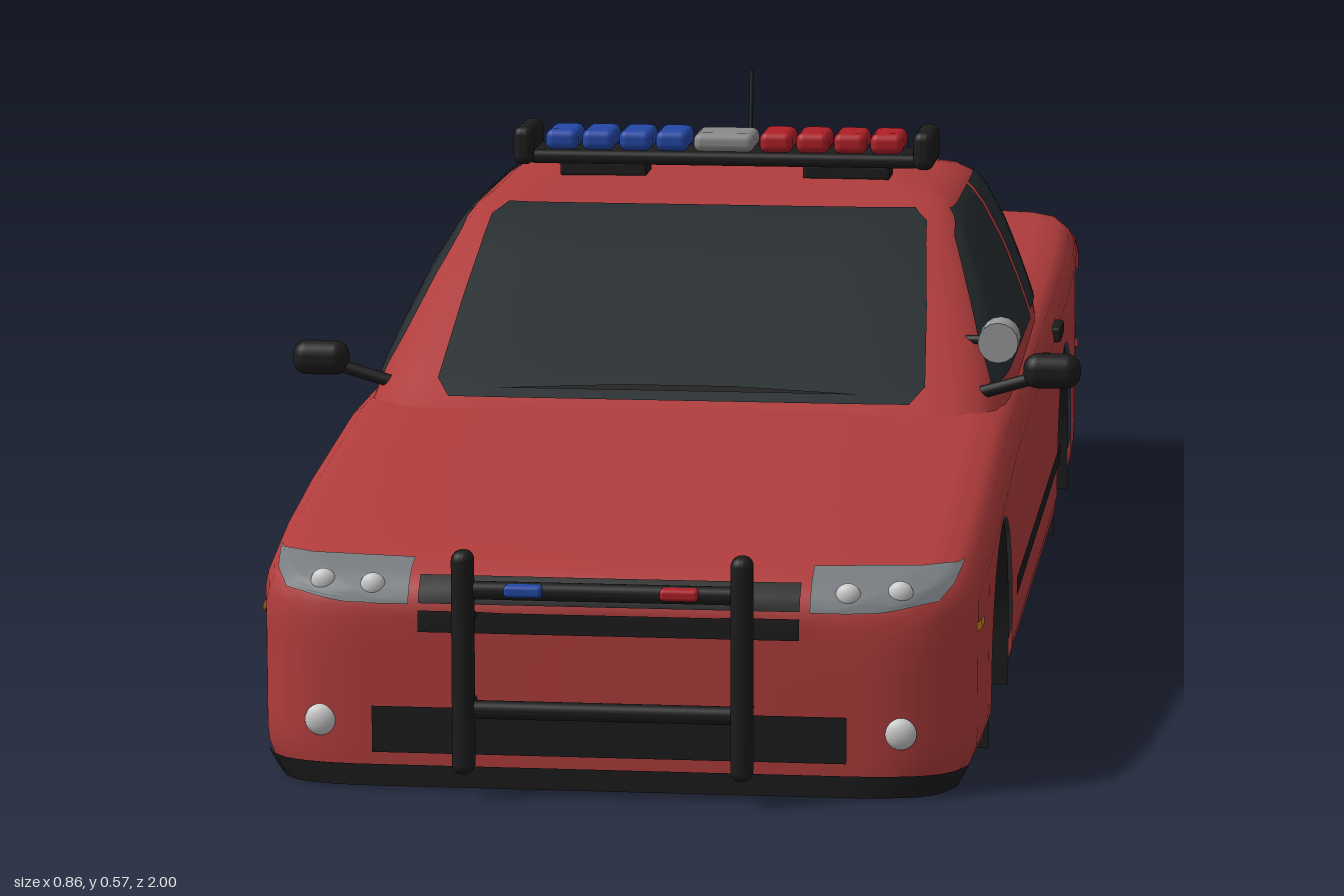
import * as THREE from 'three';
import { toCreasedNormals } from 'three/addons/utils/BufferGeometryUtils.js';
import { RoundedBoxGeometry } from 'three/addons/geometries/RoundedBoxGeometry.js';

const RED = 0xb03c3c, BLACK = 0x1c1c1c, GLASS = 0x272d30, GREY = 0xcccccc, BLUE = 0x2448a8, LAMP = 0xb01f28;
const FLOOR = 0.005, ARCHES = [0.56, -0.57], ARCH_R = 0.15, ARCH_Y = 0.065, WELL_X = 0.2;

// Lower body stations: z, half width, top height
const BODY = [[0.94, 0.25, 0.185], [0.937, 0.28, 0.197], [0.93, 0.31, 0.208], [0.915, 0.335, 0.22], [0.89, 0.352, 0.228],
  [0.85, 0.36, 0.237], [0.75, 0.364, 0.252], [0.6, 0.366, 0.27], [0.35, 0.366, 0.295], [0, 0.366, 0.3], [-0.5, 0.366, 0.312],
  [-0.65, 0.366, 0.317], [-0.8, 0.365, 0.327], [-0.88, 0.362, 0.331], [-0.925, 0.352, 0.331], [-0.95, 0.338, 0.327],
  [-0.965, 0.315, 0.315], [-0.972, 0.28, 0.295]];
// Cabin rings: y, half width, front z, rear z
const CABIN = [[0.28, 0.35, 0.4, -0.67], [0.295, 0.347, 0.37, -0.65], [0.316, 0.342, 0.335, -0.62], [0.35, 0.33, 0.275, -0.57],
  [0.397, 0.311, 0.192, -0.5], [0.44, 0.288, 0.115, -0.43], [0.46, 0.273, 0.07, -0.39], [0.47, 0.258, 0.025, -0.355],
  [0.477, 0.235, -0.03, -0.31], [0.482, 0.18, -0.1, -0.25]];

// Linear lookup in a table sorted by its first column, either way
function look(table, key, col) {
  for (let i = 1; i < table.length; i++) {
    const a = table[i - 1], b = table[i], t = (key - a[0]) / (b[0] - a[0]);
    if (t <= 1 || i === table.length - 1) return THREE.MathUtils.lerp(a[col], b[col], THREE.MathUtils.clamp(t, 0, 1));
  }
}

// Surface through a grid of points given by f(i, j)
function grid(nu, nv, f) {
  const pos = [], idx = [];
  for (let i = 0; i <= nu; i++) for (let j = 0; j <= nv; j++) pos.push(...f(i, j));
  for (let i = 0; i < nu; i++) for (let j = 0; j < nv; j++) {
    const a = i * (nv + 1) + j, b = a + nv + 1;
    idx.push(a, b, b + 1, a, b + 1, a + 1);
  }
  const g = new THREE.BufferGeometry();
  g.setAttribute('position', new THREE.Float32BufferAttribute(pos, 3));
  g.setIndex(idx);
  g.computeVertexNormals();
  return g;
}

const archAt = z => ARCHES.find(c => Math.abs(z - c) <= ARCH_R);
const tuck = y => 0.94 + 0.06 * Math.sin(Math.min(1, y / 0.05) * Math.PI / 2);

// Half section of the body from the lower edge up to the centre line
function halfSection(z) {
  const w = look(BODY, z, 1), top = look(BODY, z, 2), c = archAt(z);
  const low = c === undefined ? FLOOR : ARCH_Y + Math.sqrt(Math.max(0, ARCH_R ** 2 - (z - c) ** 2));
  const pts = [], high = Math.max(top - 0.05, low + 0.002);
  for (let k = 0; k <= 10; k++) {
    const y = THREE.MathUtils.lerp(low, high, (k / 10) ** 1.4);
    pts.push([w * tuck(y), y]);
  }
  pts.push([w - 0.003, top - 0.034], [w - 0.009, top - 0.02], [w - 0.022, top - 0.01], [w - 0.05, top - 0.005], [w * 0.5, top - 0.001], [0, top]);
  return pts;
}

export function createModel() {
  const car = new THREE.Group();
  const mat = (color, side = THREE.FrontSide) => new THREE.MeshStandardMaterial({ color, side });
  const add = (name, geo, color, side) => {
    const m = new THREE.Mesh(geo, mat(color, side));
    m.name = name;
    car.add(m);
    return m;
  };
  const box = (name, color, p, s, r = 0.004) => add(name, new RoundedBoxGeometry(...s, 3, r), color).position.set(...p);
  const ball = (name, color, p, s) => {
    const m = add(name, new THREE.SphereGeometry(1, 20, 14), color);
    m.position.set(...p);
    m.scale.set(...s);
  };
  const rod = (name, color, p, q, r) => {
    const a = new THREE.Vector3(...p), b = new THREE.Vector3(...q), d = b.clone().sub(a);
    const m = add(name, new THREE.CylinderGeometry(r, r, d.length(), 16), color);
    m.position.copy(a).add(b).multiplyScalar(0.5);
    m.quaternion.setFromUnitVectors(new THREE.Vector3(0, 1, 0), d.normalize());
  };

  // Lower body, lofted front to rear with the wheel arches cut into its lower edge
  const zs = BODY.map(r => r[0]);
  for (const c of ARCHES) {
    zs.push(c + ARCH_R + 1e-4, c - ARCH_R - 1e-4);
    for (let k = 0; k <= 20; k++) zs.push(c + (ARCH_R - 1e-5) * Math.cos(k * Math.PI / 20));
  }
  zs.sort((a, b) => b - a);
  const rows = zs.map(z => {
    const h = halfSection(z), other = h.slice(0, -1).reverse();
    return [...h.map(([x, y]) => [x, y, z]), ...other.map(([x, y]) => [-x, y, z])];
  });
  const flat = row => row.map(([, y, z]) => [0, y, z]);
  rows.unshift(flat(rows[0]));
  rows.push(flat(rows[rows.length - 1]));
  const body = add('body', toCreasedNormals(grid(rows.length - 1, rows[0].length - 1, (i, j) => rows[i][j]), 0.7), RED);

  // Cabin, stacked from rounded rings and closed at the roof
  const N = 96;
  const cabin = add('cabin', toCreasedNormals(grid(N, CABIN.length, (i, j) => {
    const [y, hw, zf, zr] = CABIN[Math.min(j, CABIN.length - 1)];
    const k = j === CABIN.length ? 0 : 1, a = (i % N) / N * Math.PI * 2;
    const c = Math.cos(a), s = -Math.sin(a), d = k / (Math.abs(c) ** 10 + Math.abs(s) ** 10) ** 0.1;
    const z = (zf + zr) / 2 + s * d * (zf - zr) / 2;
    const taper = 1 - 0.13 * THREE.MathUtils.smoothstep(-z, 0.25, 0.65);
    return [c * d * hw * taper, k ? y : 0.484, z];
  }), 0.7), RED);

  // Thin panel laid on a surface; rows are [y, start, end], seen along one axis
  const ray = new THREE.Raycaster();
  function panel(name, color, target, axis, sign, rowsIn, lift = 0.003, nu = 18) {
    const nv = 4 * (rowsIn.length - 1);
    let last = new THREE.Vector3();
    add(name, grid(nu, nv, (i, j) => {
      const k = Math.min(Math.floor(j / 4), rowsIn.length - 2), t = j / 4 - k;
      const [y, a0, a1] = rowsIn[k].map((v, n) => THREE.MathUtils.lerp(v, rowsIn[k + 1][n], t));
      const a = THREE.MathUtils.lerp(a0, a1, i / nu);
      const from = axis === 'z' ? new THREE.Vector3(a, y, 2 * sign) : new THREE.Vector3(2 * sign, y, a);
      const dir = axis === 'z' ? new THREE.Vector3(0, 0, -sign) : new THREE.Vector3(-sign, 0, 0);
      ray.set(from, dir);
      const hit = ray.intersectObject(target)[0];
      if (hit) last = hit.point.clone().addScaledVector(hit.face.normal, lift);
      return last.toArray();
    }), color, THREE.DoubleSide);
    return last;
  }
  const bar = (y0, y1, a, b) => [[y0, a, b], [y1, a, b]];

  // Underside and wheel wells
  add('floor', grid(zs.length - 1, 1, (i, j) => {
    const w = archAt(zs[i]) === undefined ? look(BODY, zs[i], 1) * tuck(FLOOR) : WELL_X;
    return [j ? -w : w, FLOOR, zs[i]];
  }), BLACK, THREE.DoubleSide);
  for (const c of ARCHES) for (const s of [1, -1]) {
    const arc = [[ARCH_R, FLOOR]];
    for (let k = 0; k <= 24; k++) arc.push([ARCH_R * Math.cos(k * Math.PI / 24), ARCH_Y + ARCH_R * Math.sin(k * Math.PI / 24)]);
    arc.push([-ARCH_R, FLOOR]);
    add('wheelWell', grid(arc.length - 1, 1, (i, j) => [s * (j ? 0.362 : WELL_X), arc[i][1], c + arc[i][0]]), BLACK, THREE.DoubleSide);
    const wall = add('wheelWellWall', new THREE.ShapeGeometry(new THREE.Shape(arc.map(p => new THREE.Vector2(...p)))), BLACK, THREE.DoubleSide);
    wall.rotation.y = -Math.PI / 2;
    wall.position.set(s * WELL_X, 0, c);
  }

  // Windows
  panel('windshield', GLASS, cabin, 'z', 1, [[0.297, -0.25, 0.25], [0.312, -0.265, 0.265], [0.38, -0.257, 0.257], [0.455, -0.245, 0.245], [0.465, -0.23, 0.23]]);
  panel('rearWindow', GLASS, cabin, 'z', -1, [[0.325, -0.24, 0.24], [0.335, -0.252, 0.252], [0.445, -0.212, 0.212], [0.457, -0.19, 0.19]]);
  panel('highBrakeLight', LAMP, cabin, 'z', -1, bar(0.443, 0.449, -0.058, 0.058), 0.007);
  panel('wiper', BLACK, cabin, 'z', 1, [[0.301, -0.2, 0.2], [0.306, -0.06, 0.06]], 0.01);
  for (const s of [1, -1]) {
    panel('frontSideWindow', GLASS, cabin, 'x', s, [[0.308, -0.18, 0.29], [0.35, -0.18, 0.235], [0.4, -0.18, 0.155], [0.44, -0.18, 0.085], [0.462, -0.18, 0.02]]);
    panel('rearSideWindow', GLASS, cabin, 'x', s, [[0.315, -0.44, -0.2], [0.4, -0.42, -0.2], [0.44, -0.385, -0.2], [0.462, -0.34, -0.2]]);
    panel('quarterWindow', GLASS, cabin, 'x', s, [[0.318, -0.575, -0.455], [0.385, -0.475, -0.44]]);

    // Side trim, handles and markers
    panel('sideMoulding', BLACK, body, 'x', s, bar(0.1, 0.12, -0.41, 0.4), 0.004);
    for (const z of [-0.122, -0.362]) box('doorHandle', BLACK, [s * 0.367, 0.264, z], [0.014, 0.018, 0.065]);
    panel('frontMarker', 0xc98a20, body, 'x', s, bar(0.16, 0.169, 0.82, 0.865));
    panel('rearMarker', LAMP, body, 'x', s, bar(0.158, 0.168, -0.9, -0.85));

    // Mirrors
    box('mirror', BLACK, [s * 0.4, 0.329, 0.305], [0.062, 0.038, 0.034], 0.016);
    rod('mirrorArm', BLACK, [s * 0.32, 0.303, 0.305], [s * 0.385, 0.322, 0.305], 0.007);

    // Headlights and fog lights
    const head = [[0.19, 0.2, 0.265], [0.2, 0.2, 0.325], [0.213, 0.2, 0.338], [0.226, 0.2, 0.344]].map(([y, a, b]) => [y, s * a, s * b]);
    panel('headlight', 0x777c80, body, 'z', 1, head, 0.003, 24);
    const lampOn = (name, x, y, r) => {
      ray.set(new THREE.Vector3(s * x, y, 2), new THREE.Vector3(0, 0, -1));
      const hit = ray.intersectObject(body)[0];
      if (hit) ball(name, GREY, hit.point.toArray(), [r, r, 0.009]);
    };
    lampOn('headlightBulb', 0.237, 0.206, 0.013);
    lampOn('headlightBulb', 0.288, 0.208, 0.013);
    lampOn('fogLight', 0.29, 0.07, 0.016);

    // Tail lights, wrapping onto the sides
    panel('tailLight', 0x8a1820, body, 'z', -1, bar(0.258, 0.3, s * 0.19, s * 0.34));
    panel('tailLightSide', 0x8a1820, body, 'x', s, bar(0.258, 0.3, -0.955, -0.86));
    panel('tailLightTrim', BLACK, body, 'z', -1, bar(0.25, 0.258, s * 0.19, s * 0.34), 0.004);
    panel('reverseLight', GREY, body, 'z', -1, bar(0.258, 0.295, s * 0.185, s * 0.22), 0.006);

    // Exhaust, push bar posts and roof knobs
    const pipe = add('exhaust', new THREE.CylinderGeometry(0.015, 0.015, 0.07, 20), GREY);
    pipe.rotation.x = Math.PI / 2;
    pipe.position.set(s * 0.23, 0.022, -0.965);
    box('pushBarPost', BLACK, [s * 0.138, 0.143, 0.985], [0.022, 0.225, 0.028], 0.01);
    for (const y of [0.095, 0.18]) rod('pushBarBracket', BLACK, [s * 0.138, y, 0.93], [s * 0.138, y, 0.98], 0.007);
    ball('roofKnob', BLACK, [s * 0.105, 0.484, -0.29], [0.01, 0.009, 0.01]);
    box('pushBarLight', s > 0 ? LAMP : BLUE, [s * 0.077, 0.217, 0.99], [0.038, 0.012, 0.018]);

    // Light bar lamps, end caps and feet
    for (const x of [0.06, 0.102, 0.145, 0.187]) box('lightBarLamp', s > 0 ? LAMP : BLUE, [s * x, 0.522, -0.11], [0.038, 0.024, 0.07], 0.009);
    box('lightBarCap', BLACK, [s * 0.23, 0.516, -0.11], [0.024, 0.044, 0.095], 0.01);
    box('lightBarFoot', BLACK, [s * 0.14, 0.488, -0.11], [0.1, 0.018, 0.05]);
  }
  box('lightBarBase', BLACK, [0, 0.503, -0.11], [0.45, 0.016, 0.08], 0.007);
  box('lightBarCentre', 0x8a8a8a, [0, 0.521, -0.11], [0.07, 0.022, 0.07], 0.009);

  // Push bar cross rails
  for (const y of [0.095, 0.215]) box('pushBarRail', BLACK, [0, y, 0.982], [0.27, 0.018, 0.018], 0.008);

  // Grilles, lower lips and number plate panel
  panel('grilleUpper', BLACK, body, 'z', 1, bar(0.191, 0.215, -0.19, 0.19));
  panel('grilleLower', BLACK, body, 'z', 1, bar(0.163, 0.184, -0.19, 0.19));
  panel('airIntake', BLACK, body, 'z', 1, bar(0.04, 0.087, -0.237, 0.237));
  panel('frontLip', BLACK, body, 'z', 1, [[0.006, -0.338, 0.338], [0.028, -0.35, 0.35]], 0.004, 60);
  panel('rearLip', BLACK, body, 'z', -1, [[0.006, -0.325, 0.325], [0.035, -0.335, 0.335]], 0.004, 60);
  panel('plateFrame', BLACK, body, 'z', -1, bar(0.128, 0.187, -0.068, 0.068), 0.002);
  panel('platePanel', RED, body, 'z', -1, bar(0.131, 0.184, -0.065, 0.065), 0.004);

  // Antenna and spotlight
  rod('antenna', BLACK, [0, 0.465, -0.358], [0, 0.57, -0.379], 0.0025);
  rod('spotlight', 0x9a9a9a, [0.34, 0.355, 0.24], [0.34, 0.355, 0.285], 0.022);
  rod('spotlightArm', BLACK, [0.29, 0.35, 0.235], [0.335, 0.353, 0.25], 0.005);
  return car;
}
